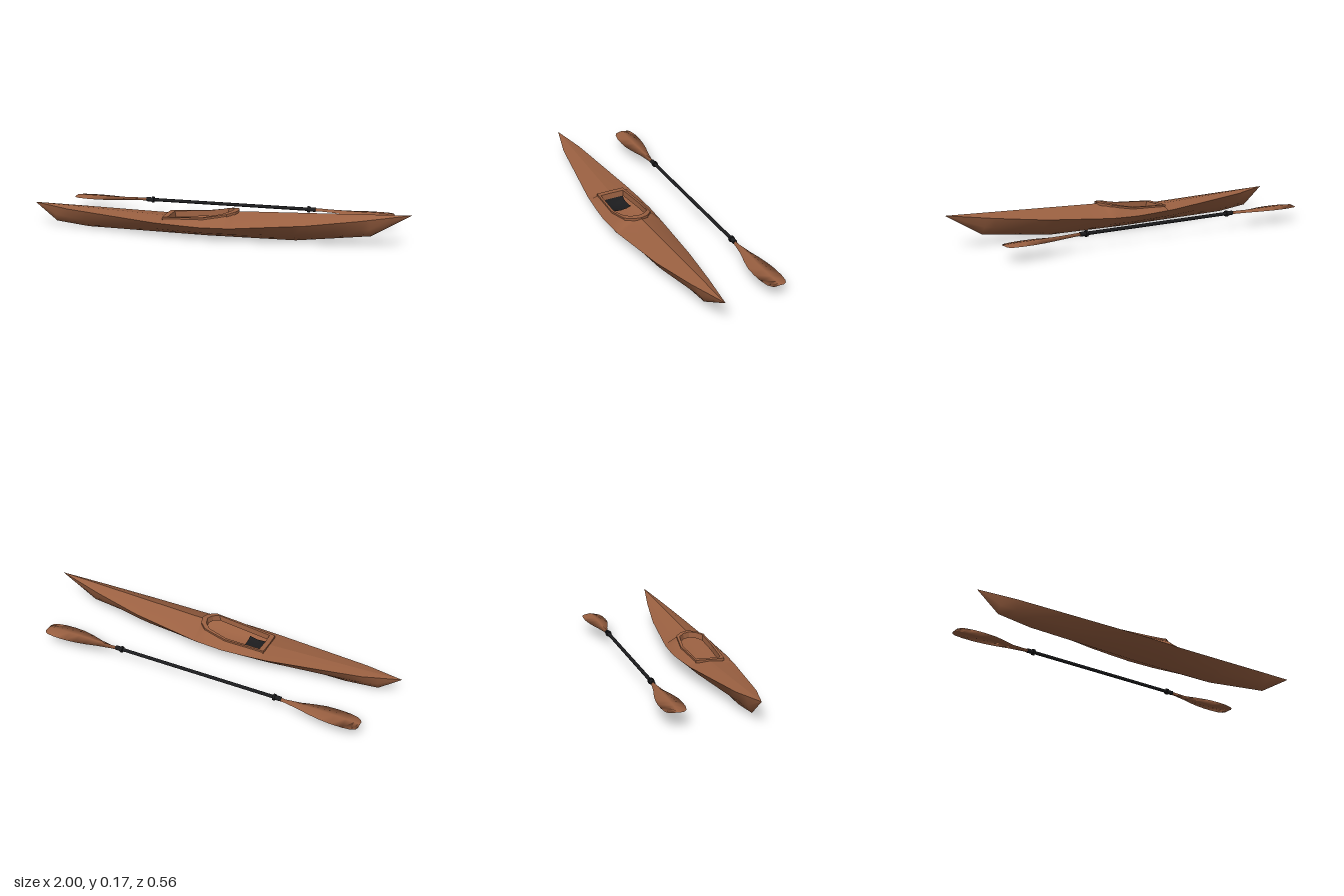
import * as THREE from 'three';

// Skin rows of [x, y, z] points; closed joins the last point of each row to its first
function loft(rows, closed = false) {
  const n = rows[0].length, index = [];
  for (let i = 0; i < rows.length - 1; i++) {
    for (let j = 0; j < (closed ? n : n - 1); j++) {
      const k = (j + 1) % n;
      const a = i * n + j, b = i * n + k, c = a + n, d = b + n;
      index.push(a, b, c, b, d, c);
    }
  }
  const g = new THREE.BufferGeometry();
  g.setAttribute('position', new THREE.Float32BufferAttribute(rows.flat(2), 3));
  g.setIndex(index);
  g.computeVertexNormals();
  return g;
}

// Piecewise linear lookup in [x, value] pairs
function lookup(table, x) {
  for (let i = 1; i < table.length; i++) {
    const [x0, v0] = table[i - 1], [x1, v1] = table[i];
    if (x <= x1) return v0 + (v1 - v0) * (x - x0) / (x1 - x0);
  }
  return table[table.length - 1][1];
}

const halfWidth = [[-1, 0], [-0.8, 0.05], [-0.3, 0.118], [-0.15, 0.13], [-0.05, 0.134], [0.1, 0.129], [0.48, 0.092], [0.75, 0.049], [1, 0]];
const sheer = [[-1, 0.12], [-0.8, 0.105], [-0.3, 0.08], [-0.05, 0.075], [0.1, 0.078], [0.48, 0.108], [0.75, 0.14], [1, 0.174]];
const keel = [[-1, 0.12], [-0.88, 0.025], [-0.7, 0.006], [-0.05, 0.001], [0.42, 0.007], [0.8, 0.055], [1, 0.174]];
const ridge = [[-1, 0.12], [-0.27, 0.094], [-0.03, 0.108], [0.07, 0.13], [0.12, 0.14], [1, 0.174]];
const opening = [[-1, 0], [-0.268, 0], [-0.26, 0.073], [-0.05, 0.086], [0.07, 0.072], [0.105, 0.04], [0.12, 0], [1, 0]];

export function createModel() {
  const model = new THREE.Group();
  const wood = new THREE.MeshStandardMaterial({ color: 0x9a6041, side: THREE.DoubleSide });
  wood.name = 'brown shell';
  const black = new THREE.MeshStandardMaterial({ color: 0x1c1c1e, side: THREE.DoubleSide });
  black.name = 'black fittings';

  const add = (parent, name, geometry, material) => {
    const mesh = new THREE.Mesh(geometry, material);
    mesh.name = name;
    parent.add(mesh);
    return mesh;
  };

  const kayak = new THREE.Group();
  kayak.name = 'kayak';
  kayak.position.z = 0.144;
  model.add(kayak);

  // Hull: keel, bilge and sheer on each side
  const hullX = [-1, -0.88, -0.8, -0.7, -0.5, -0.3, -0.15, -0.05, 0.1, 0.25, 0.42, 0.48, 0.62, 0.75, 0.8, 0.9, 1];
  add(kayak, 'hull', loft(hullX.map((x) => {
    const w = lookup(halfWidth, x), s = lookup(sheer, x), k = lookup(keel, x);
    const bilge = k + (s - k) * 0.45;
    return [[x, s, w], [x, bilge, w * 0.62], [x, k, 0], [x, bilge, -w * 0.62], [x, s, -w]];
  })), wood);

  // Deck halves, from the sheer up to the ridge or the cockpit edge
  const deckX = [-1, -0.8, -0.5, -0.3, -0.268, -0.26, -0.15, -0.05, 0.03, 0.07, 0.105, 0.12, 0.25, 0.48, 0.75, 0.88, 1];
  for (const side of [-1, 1]) {
    const rows = deckX.map((x) => {
      const w = lookup(halfWidth, x), s = lookup(sheer, x);
      const c = lookup(opening, x), r = lookup(ridge, x);
      const row = [[x, s, side * w], [x, s + (r - s) * 0.6, side * (w + (c - w) * 0.5)], [x, r, side * c]];
      return side < 0 ? row : row.reverse();
    });
    add(kayak, side < 0 ? 'rightDeck' : 'leftDeck', loft(rows), wood);
  }

  // Coaming: a raised lip around the cockpit opening
  const edge = [-0.26, -0.15, -0.05, 0.03, 0.07, 0.105];
  const half = edge.map((x) => [x, lookup(ridge, x), lookup(opening, x)]);
  const rim = [...half, [0.118, 0.14, 0], ...half.map(([x, y, z]) => [x, y, -z]).reverse(), [-0.262, 0.094, 0]];
  rim.push(rim[0]);
  const lip = [[0.86, -0.022], [0.89, 0.008], [1.04, 0.008], [1.04, -0.006]];
  const rimRows = rim.map(([x, y, z]) => lip.map(([k, dy]) => [-0.08 + (x + 0.08) * k, y + dy, z * k]));
  const coaming = loft(rimRows, true).toNonIndexed();
  coaming.computeVertexNormals();
  add(kayak, 'coaming', coaming, wood);

  // Seat: dished pan curving up into a low backrest
  const seatProfile = [[-0.248, 0.088], [-0.238, 0.06], [-0.215, 0.045], [-0.17, 0.043], [-0.13, 0.052]];
  add(kayak, 'seat', loft(seatProfile.map(([x, y]) =>
    [-1, -0.6, 0, 0.6, 1].map((t) => [x, y + 0.012 * t * t, t * 0.061]))), black);

  const paddle = new THREE.Group();
  paddle.name = 'paddle';
  paddle.position.set(-0.022, 0.081, -0.222);
  model.add(paddle);

  const shaft = add(paddle, 'shaft', new THREE.CylinderGeometry(0.009, 0.009, 0.95, 10), black);
  shaft.rotation.z = Math.PI / 2;

  // Blade stations: distance from the middle, back edge, front edge, crown
  const blade = [
    [0.455, -0.009, 0.009, 0.009], [0.5, -0.013, 0.012, 0.008], [0.57, -0.026, 0.024, 0.006],
    [0.64, -0.043, 0.044, 0.005], [0.7, -0.054, 0.057, 0.004], [0.76, -0.06, 0.06, 0.004],
    [0.82, -0.06, 0.057, 0.004], [0.865, -0.055, 0.047, 0.004], [0.885, -0.045, 0.034, 0.003],
    [0.893, -0.028, 0.02, -0.004],
  ];
  for (const side of [-1, 1]) {
    const name = side < 0 ? 'right' : 'left';
    const rows = blade.map(([d, z0, z1, top]) => {
      const m = (z0 + z1) / 2, low = Math.min(-0.004, -top);
      return [[side * d, -0.005, z0], [side * d, top, m], [side * d, -0.005, z1], [side * d, low, m]];
    });
    add(paddle, name + 'Blade', loft(side < 0 ? rows.reverse() : rows, true), wood);

    // Drip rings near each end of the shaft
    for (const [d, r, len] of [[0.438, 0.017, 0.012], [0.455, 0.012, 0.04]]) {
      const ring = add(paddle, name + 'DripRing', new THREE.CylinderGeometry(r, r, len, 8), black);
      ring.rotation.z = Math.PI / 2;
      ring.position.x = side * d;
    }
  }
  return model;
}
